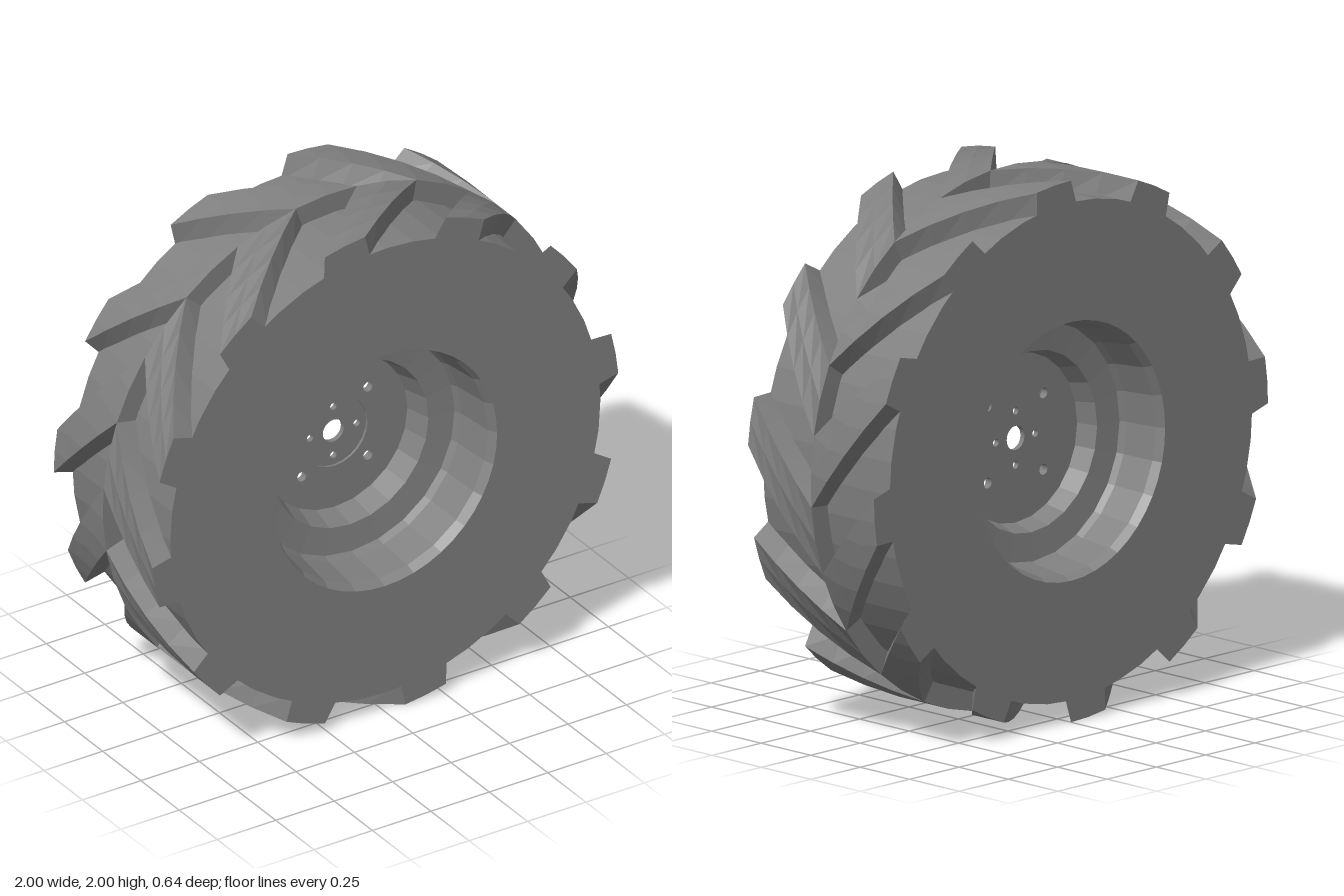
import * as THREE from 'three';

const HALF = 0.32;    // half the wheel width
const R_BASE = 0.92;  // tread floor
const R_TOP = 1.0;    // top of the lugs
const deg = THREE.MathUtils.degToRad;
const lerp = THREE.MathUtils.lerp;

const material = new THREE.MeshStandardMaterial({ color: 0x7f7f7f, flatShading: true });

function part(name, geometry) {
  const mesh = new THREE.Mesh(geometry, material);
  mesh.name = name;
  return mesh;
}

// Lathe around the z axis; profile points are [radius, z]
function latheZ(profile, segments) {
  const points = profile.map(([r, z]) => new THREE.Vector2(r, z));
  return new THREE.LatheGeometry(points, segments).rotateX(Math.PI / 2);
}

// Slanted tread bar: a box bent round the tyre, swept from the rim edge to the centre line
function lugGeometry(side, offset) {
  const geometry = new THREE.BoxGeometry(1, 1, 1, 2, 1, 4);
  const p = geometry.attributes.position;
  for (let i = 0; i < p.count; i++) {
    const u = p.getX(i) + 0.5;
    const top = p.getY(i) > 0;
    const w = p.getZ(i) + 0.5;
    const outward = side > 0 ? w : 1 - w;
    const flare = top ? 0 : 1;
    const start = lerp(55, 75, outward) + flare * 2;
    const end = lerp(40, 65, outward) - flare;
    const angle = deg(lerp(start, end, u) + offset);
    const r = top ? R_TOP : R_BASE - 0.02;
    p.setXYZ(i, Math.cos(angle) * r, Math.sin(angle) * r, side * outward * HALF);
  }
  geometry.computeVertexNormals();
  return geometry;
}

// Round plate with a centre bore and rings of holes [count, ring radius, hole radius, start angle]
function plateGeometry(radius, depth, bore, rings) {
  const shape = new THREE.Shape().absarc(0, 0, radius, 0, Math.PI * 2);
  const addHole = (x, y, r) => shape.holes.push(new THREE.Path().absarc(x, y, r, 0, Math.PI * 2, true));
  addHole(0, 0, bore);
  for (const [count, ringRadius, holeRadius, start] of rings) {
    for (let i = 0; i < count; i++) {
      const a = deg(start) + (i / count) * Math.PI * 2;
      addHole(Math.cos(a) * ringRadius, Math.sin(a) * ringRadius, holeRadius);
    }
  }
  return new THREE.ExtrudeGeometry(shape, { depth, bevelEnabled: false, curveSegments: 12 });
}

export function createModel() {
  const wheel = new THREE.Group();
  wheel.name = 'wheel';

  // Tyre body: flat sidewalls and tread floor
  wheel.add(part('tyre', latheZ([
    [0.478, -HALF], [R_BASE, -HALF], [R_BASE, HALF], [0.478, HALF],
  ], 48)));

  // Interlocking bars, the back row half a pitch behind the front row
  const tread = new THREE.Group();
  tread.name = 'tread';
  for (let i = 0; i < 12; i++) {
    tread.add(part('frontLug', lugGeometry(1, i * 30)));
    tread.add(part('backLug', lugGeometry(-1, i * 30 + 15)));
  }
  wheel.add(tread);

  // Stepped rim wells on both sides
  const well = [[0.485, HALF], [0.465, 0.28], [0.45, 0.13], [0.44, 0.1], [0.335, 0.09], [0.325, 0.05], [0.31, -0.01]];
  wheel.add(part('frontRim', latheZ(well, 24)));
  wheel.add(part('backRim', latheZ(well.map(([r, z]) => [r, -z - 0.04 * (1 - z / HALF)]).reverse(), 24)));

  // Hub disc with bolt holes; its front layer leaves a shallow round recess
  const smallHoles = [4, 0.1, 0.014, 0];
  const boltHoles = [4, 0.2, 0.02, 45];
  const disc = part('hubDisc', plateGeometry(0.32, 0.02, 0.045, [smallHoles, boltHoles]));
  disc.position.z = -0.04;
  const face = part('hubFace', plateGeometry(0.32, 0.01, 0.14, [boltHoles]));
  face.position.z = -0.02;
  wheel.add(disc, face);

  wheel.position.y = R_TOP;
  const model = new THREE.Group();
  model.add(wheel);
  return model;
}
